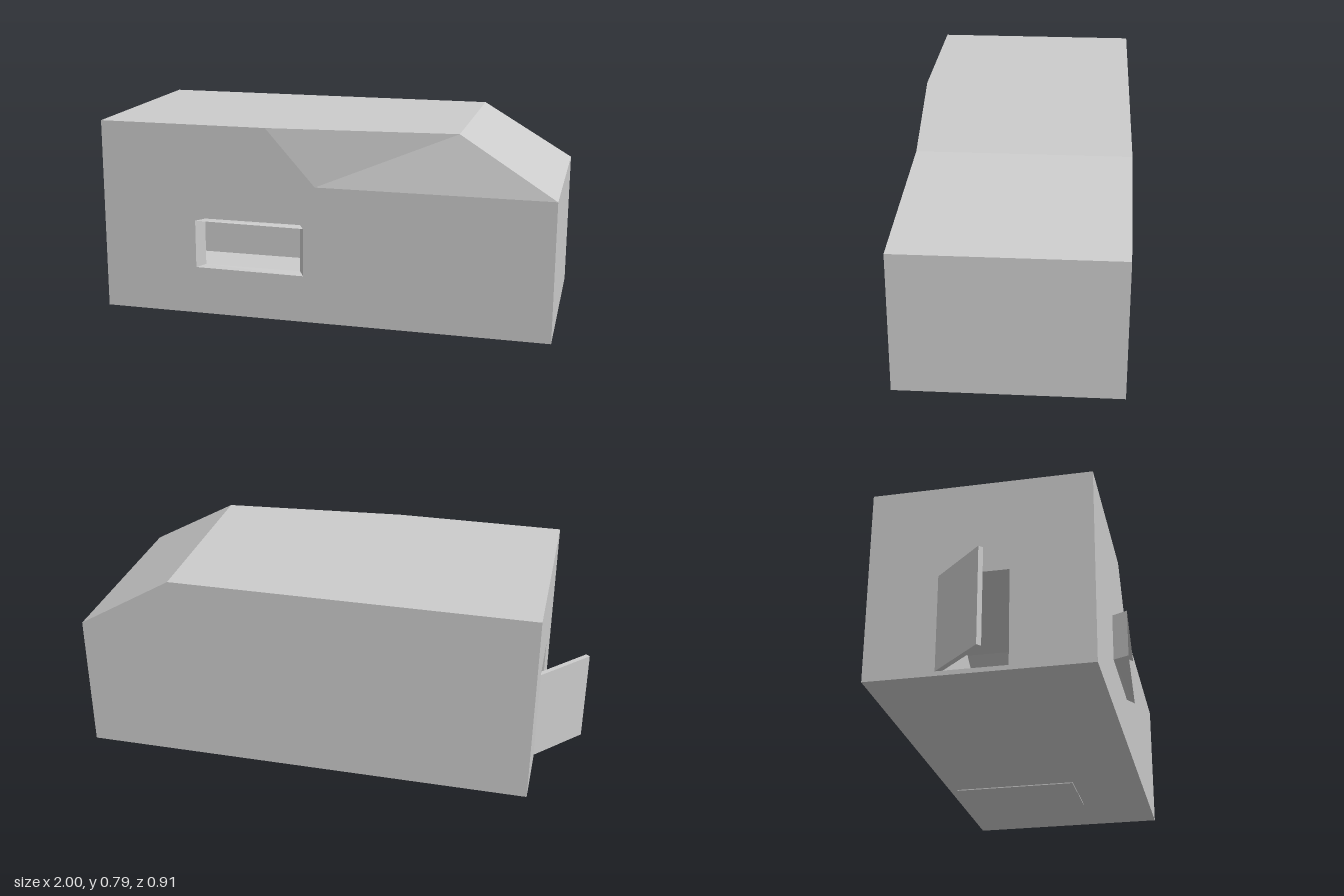
import * as THREE from 'three';

const material = new THREE.MeshStandardMaterial({ color: 0xcccccc, side: THREE.DoubleSide, flatShading: true });

// Extents of the hollow shell
const L = -0.82, R = 1, LO = 0.004, EAVE = 0.56, HI = 0.785, BACK = -0.455, FRONT = 0.395;

function add(parent, name, geometry) {
  const mesh = new THREE.Mesh(geometry, material);
  mesh.name = name;
  parent.add(mesh);
  return mesh;
}

// Flat faces, each a convex loop of corners drawn as a fan
function facets(...loops) {
  const pos = [];
  for (const p of loops)
    for (let i = 1; i < p.length - 1; i++) pos.push(...p[0], ...p[i], ...p[i + 1]);
  const g = new THREE.BufferGeometry();
  g.setAttribute('position', new THREE.Float32BufferAttribute(pos, 3));
  g.computeVertexNormals();
  return g;
}

// Flat wall with one rectangular opening
function wall(outline, x0, y0, x1, y1) {
  const vec = (pts) => pts.map(([x, y]) => new THREE.Vector2(x, y));
  const shape = new THREE.Shape(vec(outline));
  shape.holes.push(new THREE.Path(vec([[x0, y0], [x0, y1], [x1, y1], [x1, y0]])));
  return new THREE.ShapeGeometry(shape);
}

export function createModel() {
  const model = new THREE.Group();
  model.name = 'cabin';

  // Front wall with the window opening
  const front = wall([[L, LO], [R, LO], [R, EAVE], [0.07, EAVE], [-0.13, HI], [L, HI]], -0.385, 0.215, 0.01, 0.405);
  add(model, 'frontWall', front.translate(0, 0, FRONT));

  // End wall with the doorway
  const end = wall([[BACK, LO], [FRONT, LO], [FRONT, HI], [BACK, HI]], -0.185, 0.022, 0.082, 0.405);
  add(model, 'doorWall', end.rotateY(-Math.PI / 2).translate(L, 0, 0));

  // Closed walls and floor
  add(model, 'backWall', facets([[R, LO, BACK], [L, LO, BACK], [L, HI, BACK], [0.62, HI, BACK], [R, EAVE, BACK]]));
  add(model, 'lowEndWall', facets([[R, LO, FRONT], [R, LO, BACK], [R, EAVE, BACK], [R, EAVE, FRONT]]));
  add(model, 'floor', facets([[L, LO, BACK], [R, LO, BACK], [R, LO, FRONT], [L, LO, FRONT]]));

  // Roof: flat top, end slope and the bevel over the front wall
  const a = [-0.13, HI, FRONT], b = [0.07, EAVE, FRONT], c = [0.62, HI, 0.33], d = [R, EAVE, FRONT];
  add(model, 'roofTop', facets([[L, HI, BACK], [L, HI, FRONT], a, c, [0.62, HI, BACK]]));
  add(model, 'roofSlope', facets([c, d, [R, EAVE, BACK], [0.62, HI, BACK]]));
  add(model, 'roofBevel', facets([a, b, c], [b, d, c]));

  // Skewed, flared frame standing out from the window opening
  const inner = [[-0.385, 0.215, FRONT], [0.01, 0.215, FRONT], [0.01, 0.405, FRONT], [-0.385, 0.405, FRONT]];
  const outer = [[-0.405, 0.218, 0.455], [0.03, 0.205, 0.425], [0.03, 0.398, 0.425], [-0.405, 0.41, 0.455]];
  add(model, 'windowFrame', facets(...inner.map((p, i) => {
    const j = (i + 1) % 4;
    return [p, inner[j], outer[j], outer[i]];
  })));

  // Door standing ajar on its hinge
  const door = add(model, 'door', new THREE.BoxGeometry(0.02, 0.383, 0.267).translate(0.01, 0.1915, 0.1335));
  door.position.set(L, 0.022, -0.185);
  door.rotation.y = -0.747;

  // Thin plate let into the floor
  add(model, 'floorPlate', new THREE.BoxGeometry(0.31, 0.006, 0.52).translate(0.535, 0.003, -0.16));

  return model;
}
